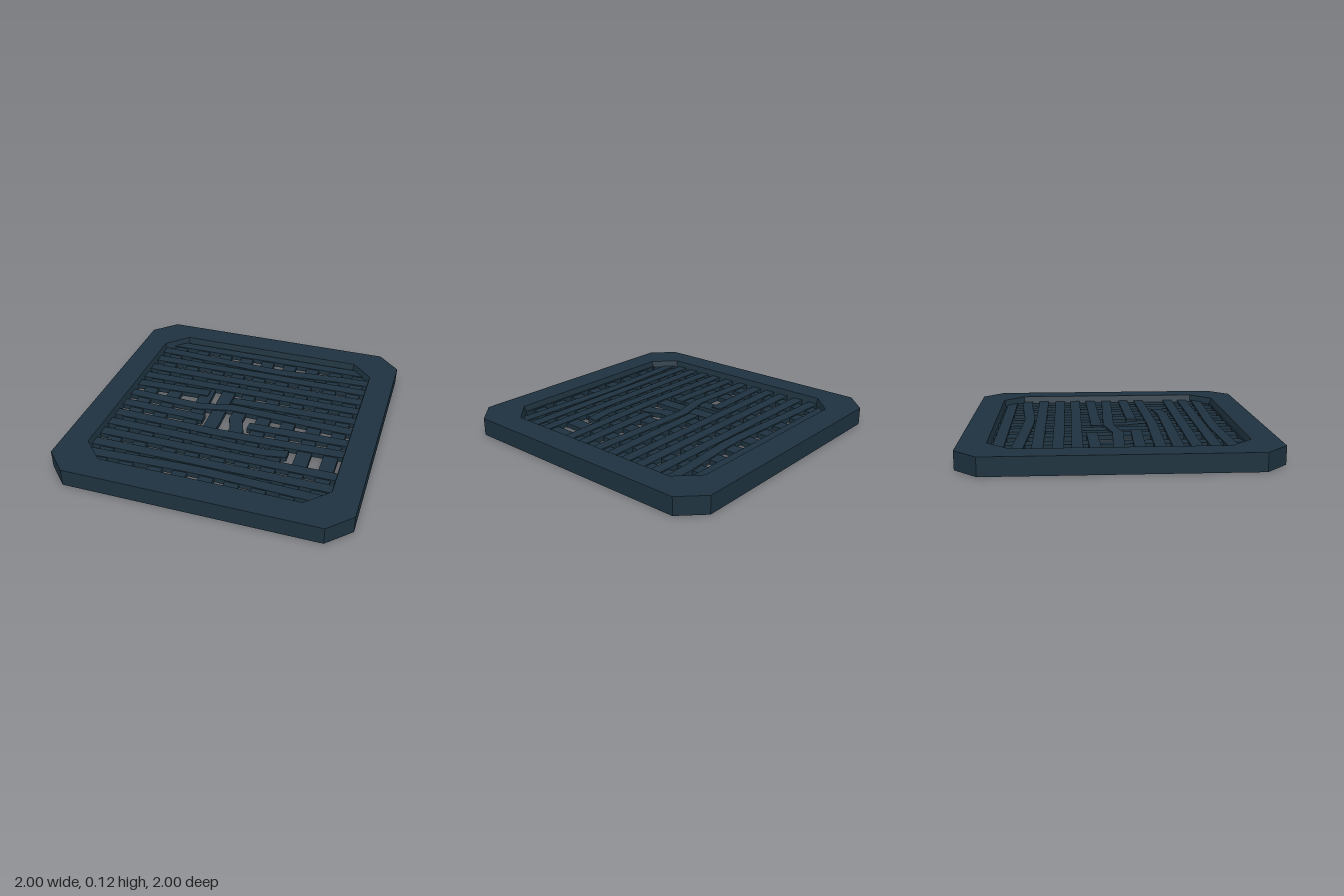
import * as THREE from 'three';

const iron = new THREE.MeshStandardMaterial({ color: 0x1e323f, side: THREE.DoubleSide });
iron.name = 'dark iron';

function flatGeometry(pos) {
  const geo = new THREE.BufferGeometry();
  geo.setAttribute('position', new THREE.Float32BufferAttribute(pos, 3));
  geo.computeVertexNormals();
  return geo;
}

// Eight corners of a chamfered square: half size h, chamfer starting at c
function octagon([h, c, y]) {
  return [[h, -c], [h, c], [c, h], [-c, h], [-h, c], [-h, -c], [-c, -h], [c, -h]].map(([x, z]) => [x, y, z]);
}

// Flat-faced shell joining successive rings
function shell(rings) {
  const loops = rings.map(octagon);
  const pos = [];
  for (let r = 0; r < loops.length - 1; r++) {
    for (let i = 0; i < 8; i++) {
      const j = (i + 1) % 8, a = loops[r], b = loops[r + 1];
      pos.push(...a[i], ...b[i], ...a[j], ...b[i], ...b[j], ...a[j]);
    }
  }
  return flatGeometry(pos);
}

// Bent channel, open underneath; path points are [x, z] with x increasing
function channel(path, width, y0, y1) {
  const w = width / 2;
  const sections = path.map(([x, z]) => [[x, y0, z - w], [x, y1, z - w], [x, y1, z + w], [x, y0, z + w]]);
  const pos = [];
  for (let i = 0; i < sections.length - 1; i++) {
    const a = sections[i], b = sections[i + 1];
    for (let k = 0; k < 3; k++) {
      pos.push(...a[k], ...a[k + 1], ...b[k], ...a[k + 1], ...b[k + 1], ...b[k]);
    }
  }
  // End walls
  const s = sections[0], e = sections[sections.length - 1];
  pos.push(...s[0], ...s[2], ...s[1], ...s[0], ...s[3], ...s[2]);
  pos.push(...e[0], ...e[1], ...e[2], ...e[0], ...e[2], ...e[3]);
  return flatGeometry(pos);
}

export function createModel() {
  const model = new THREE.Group();
  model.name = 'damaged floor grate';
  const add = (parent, name, geo) => {
    const mesh = new THREE.Mesh(geo, iron);
    mesh.name = name;
    parent.add(mesh);
  };

  // Hollow frame: outer wall, top rim, sloped inner lip
  add(model, 'frame', shell([[1, 0.85, 0], [1, 0.85, 0.12], [0.822, 0.675, 0.12], [0.807, 0.668, 0.05]]));

  const E = 0.88;
  const straight = (o) => [[-E, o], [E, o]];

  // Upper slats running left to right, some bent or snapped
  const slats = new THREE.Group();
  slats.name = 'upperSlats';
  model.add(slats);
  [
    straight(-0.76),
    [[-E, -0.645], [-0.6, -0.635], [0.02, -0.6], [0.2, -0.6], [0.6, -0.635], [E, -0.645]],
    straight(-0.515), straight(-0.385), straight(-0.265),
    [[-E, -0.145], [-0.27, -0.165]],
    [[-0.075, -0.125], [E, -0.145]],
    [[-E, -0.015], [-0.28, 0.012], [-0.05, -0.04], [E, -0.012]],
    [[-E, 0.12], [-0.205, 0.14]],
    [[0.12, 0.135], [E, 0.12]],
    [[-E, 0.25], [-0.05, 0.27], [0.3, 0.262], [E, 0.245]],
    [[-E, 0.365], [0.3, 0.382], [0.46, 0.355]],
    straight(0.485), straight(0.605),
    [[-E, 0.72], [-0.6, 0.71], [-0.15, 0.69], [0.05, 0.69], [0.6, 0.71], [E, 0.72]],
    straight(0.84),
  ].forEach((p) => add(slats, 'upperSlat', channel(p, 0.074, 0.045, 0.08)));

  // Lower bars running front to back; path points are [z, x]
  const bars = new THREE.Group();
  bars.name = 'lowerBars';
  model.add(bars);
  [
    straight(-0.7), straight(-0.515),
    [[-E, -0.335], [-0.2, -0.29], [0.05, -0.275], [E, -0.325]],
    [[-E, -0.155], [0.15, -0.13], [E, -0.155]],
    [[-E, 0.025], [0.08, 0.013], [0.18, 0.052], [0.3, 0.045], [E, 0.025]],
    straight(0.2), straight(0.377), straight(0.56), straight(0.735),
  ].forEach((p) => {
    const turned = p.map(([z, x]) => [-z, x]).reverse();
    add(bars, 'lowerBar', channel(turned, 0.097, 0.04, 0.072).rotateY(Math.PI / 2));
  });

  return model;
}
